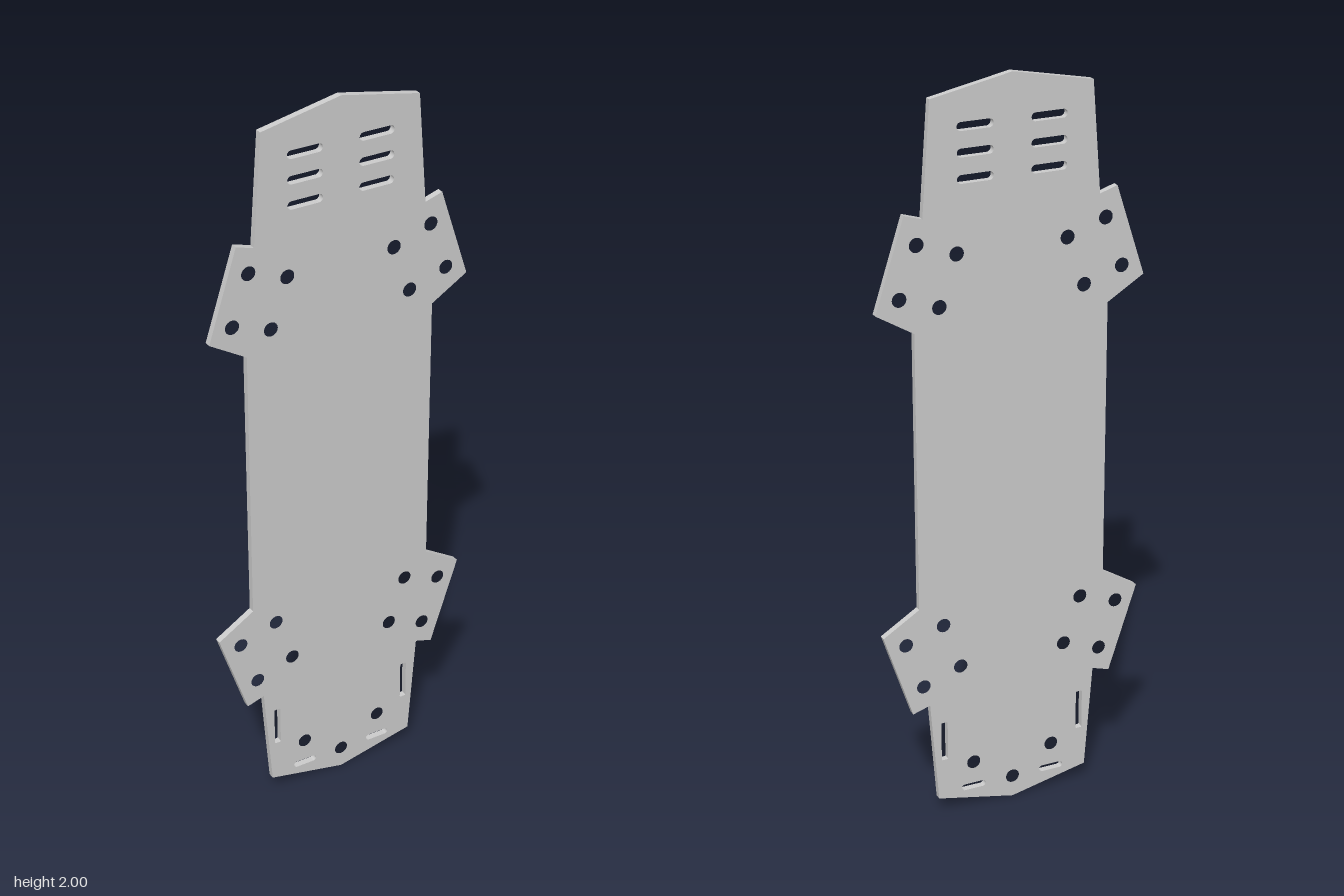
import * as THREE from 'three';

const THICKNESS = 0.018;

// Round hole
function circle(x, y, r = 0.019) {
  return new THREE.Path().absarc(x, y, r, 0, Math.PI * 2, true);
}

// Slot with rounded ends, w and h are overall sizes
function slot(x, y, w, h, r = Math.min(w, h) / 2) {
  const p = new THREE.Path();
  const a = w / 2 - r, b = h / 2 - r, q = Math.PI / 2;
  p.absarc(x + a, y + b, r, 0, q, false);
  p.absarc(x - a, y + b, r, q, 2 * q, false);
  p.absarc(x - a, y - b, r, 2 * q, 3 * q, false);
  p.absarc(x + a, y - b, r, 3 * q, 4 * q, false);
  p.closePath();
  return p;
}

export function createModel() {
  const group = new THREE.Group();
  group.name = 'framePlate';

  // Right half of the outline from top tip to bottom tip, then mirrored
  const half = [
    [0, 2], [0.215, 1.957], [0.237, 1.667], [0.285, 1.682], [0.363, 1.44], [0.263, 1.379],
    [0.263, 0.624], [0.363, 0.562], [0.285, 0.322], [0.237, 0.337], [0.215, 0.047], [0, 0],
  ];
  const mirrored = half.slice(1, -1).reverse().map(([x, y]) => [-x, y]);
  const shape = new THREE.Shape([...half, ...mirrored].map(([x, y]) => new THREE.Vector2(x, y)));

  // Arm mounting holes, the same on top and bottom
  const armHoles = [[0.254, 1.604], [0.301, 1.472], [0.149, 1.567], [0.196, 1.437]];
  for (const s of [-1, 1]) {
    for (const [x, y] of armHoles) {
      shape.holes.push(circle(s * x, y), circle(s * x, 2.001 - y));
    }
    // Strap slots at the top
    for (const y of [1.882, 1.817, 1.752]) shape.holes.push(slot(s * 0.098, y, 0.096, 0.022));
    // Side slots, lower holes and lower slots
    shape.holes.push(slot(s * 0.197, 0.219, 0.018, 0.113, 0.003));
    shape.holes.push(circle(s * 0.114, 0.135));
    shape.holes.push(slot(s * 0.114, 0.062, 0.069, 0.018));
  }
  shape.holes.push(circle(0, 0.062));

  // Flat plate
  const geometry = new THREE.ExtrudeGeometry(shape, {
    depth: THICKNESS, bevelEnabled: false, curveSegments: 16,
  });
  geometry.translate(0, 0, -THICKNESS / 2);
  const plate = new THREE.Mesh(geometry, new THREE.MeshStandardMaterial({ color: 0xcccccc }));
  plate.name = 'plate';
  group.add(plate);
  return group;
}
